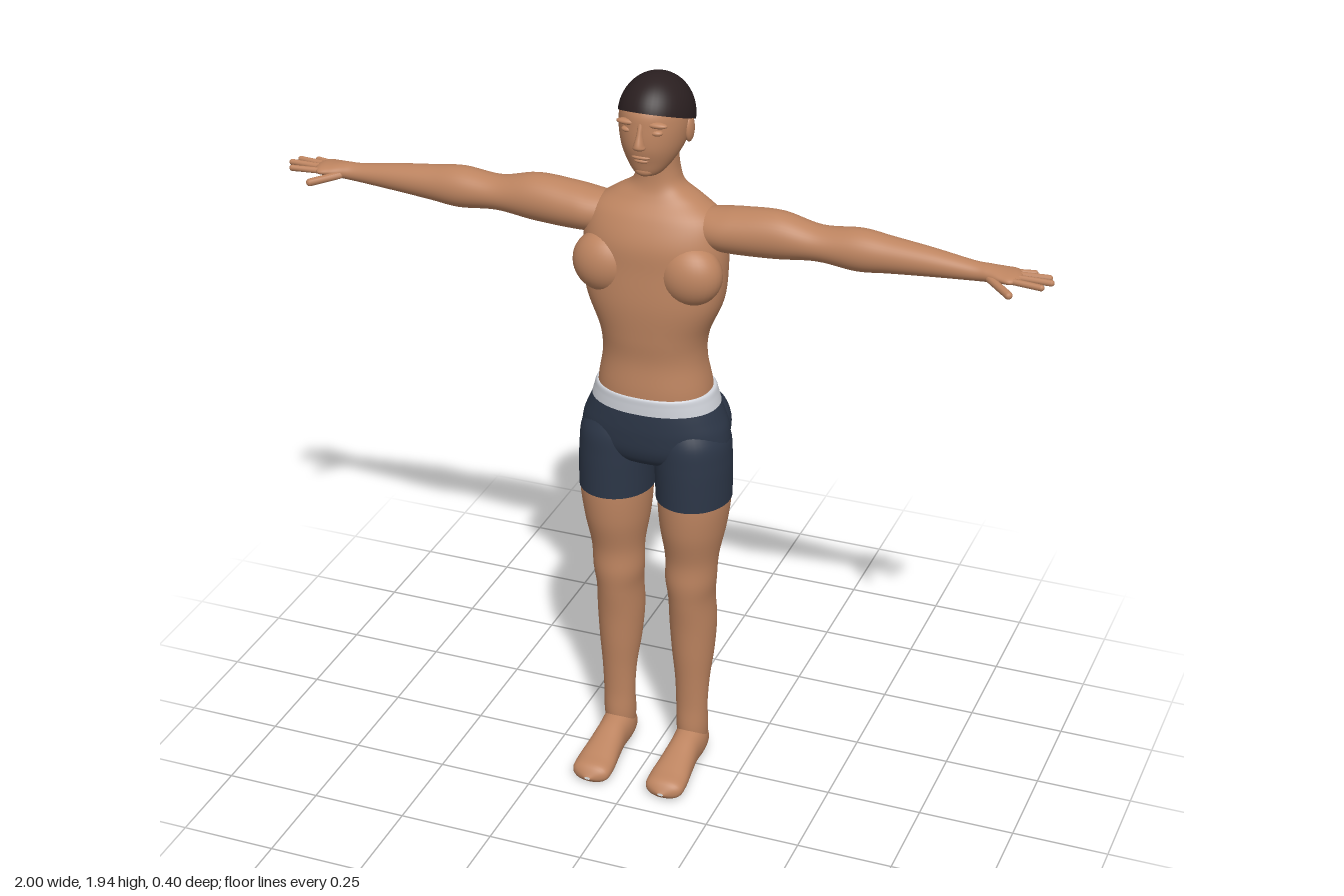
import * as THREE from 'three';

const mat = (name, color, side = THREE.FrontSide) => {
  const m = new THREE.MeshStandardMaterial({ color, side });
  m.name = name;
  return m;
};

// Smooth interpolation through the rows at fractional index s
function sample(rows, s) {
  const n = rows.length - 1, i = Math.min(Math.floor(s), n - 1), f = s - i;
  const [p, q, r, t] = [rows[Math.max(i - 1, 0)], rows[i], rows[i + 1], rows[Math.min(i + 2, n)]];
  return q.map((b, k) => {
    const a = p[k], c = r[k], d = t[k];
    return b + 0.5 * f * (c - a + f * (2 * a - 5 * b + 4 * c - d + f * (3 * (b - c) + d - a)));
  });
}

// Skin over oval sections: [position, centre u, centre v, radius u, radius v].
// Axis y: u = x, v = z. Axis x: u = z, v = y. Axis z: u = y, v = x.
function loft(axis, rows, power = 1, sides = 40, steps = 6) {
  const pos = [], index = [], count = (rows.length - 1) * steps;
  const round = (v) => Math.sign(v) * Math.abs(v) ** power;
  for (let i = 0; i <= count; i++) {
    const [t, cu, cv, ru, rv] = sample(rows, i / steps);
    for (let j = 0; j < sides; j++) {
      const a = (j / sides) * Math.PI * 2;
      const u = cu + ru * round(Math.cos(a)), v = cv + rv * round(Math.sin(a));
      pos.push(...(axis === 'y' ? [u, t, v] : axis === 'x' ? [t, v, u] : [v, u, t]));
      if (i < count) {
        const p = i * sides + j, q = i * sides + (j + 1) % sides;
        index.push(p, p + sides, q, p + sides, q + sides, q);
      }
    }
  }
  const g = new THREE.BufferGeometry();
  g.setAttribute('position', new THREE.Float32BufferAttribute(pos, 3));
  g.setIndex(index);
  g.computeVertexNormals();
  return g;
}

const blob = (c, r) => new THREE.SphereGeometry(1, 32, 20).scale(...r).translate(...c);

// Rounded finger between two points
function finger(from, to, radius) {
  const a = new THREE.Vector3(...from), b = new THREE.Vector3(...to), d = b.clone().sub(a);
  const g = new THREE.CapsuleGeometry(radius, d.length() - radius, 5, 10);
  g.applyQuaternion(new THREE.Quaternion().setFromUnitVectors(new THREE.Vector3(0, 1, 0), d.normalize()));
  const m = a.add(b).multiplyScalar(0.5);
  return g.translate(m.x, m.y, m.z);
}

// Copy on the other side, with the corner order turned round
function mirrored(geometry) {
  const g = geometry.clone().scale(-1, 1, 1), ix = g.index.array;
  for (let i = 0; i < ix.length; i += 3) [ix[i], ix[i + 1]] = [ix[i + 1], ix[i]];
  g.computeVertexNormals();
  return g;
}

export function createModel() {
  const skin = mat('skin', 0xbd8460);
  const navy = mat('navy cloth', 0x2c3647, THREE.DoubleSide);
  const white = mat('pale waistband', 0xd0d3da, THREE.DoubleSide);
  const dark = mat('dark hair', 0x2a1f20, THREE.DoubleSide);
  const model = new THREE.Group();
  model.name = 'figure';
  const add = (name, geometry, material = skin) => {
    const m = new THREE.Mesh(geometry, material);
    m.name = name;
    model.add(m);
  };
  const pair = (name, geometry, material = skin) => {
    add(name + 'Left', geometry, material);
    add(name + 'Right', mirrored(geometry), material);
  };

  // Torso and neck
  add('torso', loft('y', [
    [1.04, 0, -0.04, 0.152, 0.112], [1.12, 0, -0.035, 0.146, 0.11], [1.2, 0, -0.03, 0.133, 0.1],
    [1.27, 0, -0.028, 0.14, 0.105], [1.36, 0, -0.031, 0.176, 0.114], [1.45, 0, -0.034, 0.185, 0.112],
    [1.52, 0, -0.036, 0.183, 0.108], [1.58, 0, -0.042, 0.168, 0.088], [1.62, 0, -0.05, 0.115, 0.066],
    [1.65, 0, -0.052, 0.068, 0.054], [1.69, 0, -0.052, 0.053, 0.05], [1.75, 0, -0.045, 0.05, 0.045],
  ], 0.9, 56));
  pair('chest', blob([0.112, 1.45, 0.025], [0.082, 0.08, 0.062]));
  pair('shoulderBlade', blob([0.085, 1.47, -0.1], [0.075, 0.11, 0.052]));

  // Head and face
  add('head', loft('y', [
    [1.695, 0, 0.015, 0.006, 0.006], [1.705, 0, 0.013, 0.034, 0.04], [1.74, 0, -0.005, 0.062, 0.071],
    [1.78, 0, -0.024, 0.08, 0.1], [1.83, 0, -0.034, 0.087, 0.109], [1.87, 0, -0.036, 0.08, 0.103],
    [1.905, 0, -0.04, 0.055, 0.07], [1.922, 0, -0.04, 0.006, 0.006],
  ]));
  add('nose', loft('y', [
    [1.776, 0, 0.072, 0.004, 0.004], [1.784, 0, 0.077, 0.016, 0.016], [1.795, 0, 0.077, 0.013, 0.018],
    [1.82, 0, 0.071, 0.008, 0.013], [1.845, 0, 0.066, 0.008, 0.008],
  ], 1, 20));
  add('upperLip', blob([0, 1.757, 0.066], [0.024, 0.006, 0.009]));
  add('lowerLip', blob([0, 1.747, 0.062], [0.02, 0.006, 0.01]));
  add('chin', blob([0, 1.716, 0.043], [0.025, 0.016, 0.018]));
  pair('brow', blob([0.037, 1.842, 0.06], [0.028, 0.008, 0.012]));
  pair('eyelid', blob([0.036, 1.822, 0.058], [0.017, 0.008, 0.012]));
  pair('ear', blob([0.085, 1.805, -0.037], [0.011, 0.034, 0.021]));

  // Close-cropped hair, tilted down at the back
  const cap = new THREE.SphereGeometry(1, 48, 20, 0, Math.PI * 2, 0, Math.PI / 2);
  add('hair', cap.scale(0.092, 0.105, 0.115).rotateX(-0.36).translate(0, 1.829, -0.04), dark);

  // Arms running into the palms
  pair('arm', loft('x', [
    [0.08, -0.04, 1.552, 0.045, 0.045], [0.16, -0.04, 1.554, 0.064, 0.054], [0.22, -0.038, 1.558, 0.064, 0.059],
    [0.32, -0.036, 1.564, 0.058, 0.06], [0.42, -0.038, 1.558, 0.05, 0.044], [0.52, -0.037, 1.558, 0.052, 0.053],
    [0.6, -0.037, 1.557, 0.045, 0.045], [0.7, -0.037, 1.555, 0.036, 0.035], [0.8, -0.037, 1.551, 0.027, 0.024],
    [0.84, -0.036, 1.552, 0.029, 0.021], [0.875, -0.035, 1.553, 0.038, 0.016], [0.905, -0.034, 1.553, 0.04, 0.012],
    [0.925, -0.033, 1.553, 0.004, 0.003],
  ]));
  [
    ['littleFinger', [0.88, -0.062, 1.551], [0.945, -0.078, 1.55], 0.007],
    ['ringFinger', [0.89, -0.047, 1.553], [0.985, -0.058, 1.552], 0.008],
    ['middleFinger', [0.89, -0.028, 1.554], [0.996, -0.03, 1.553], 0.008],
    ['indexFinger', [0.89, -0.008, 1.553], [0.98, 0.002, 1.552], 0.008],
    ['thumb', [0.845, -0.015, 1.548], [0.912, 0.042, 1.537], 0.01],
  ].forEach(([name, a, b, r]) => pair(name, finger([a[0], a[2], a[1]], [b[0], b[2], b[1]], r)));

  // Legs and feet
  pair('leg', loft('y', [
    [0.04, 0.103, -0.045, 0.036, 0.042], [0.1, 0.103, -0.04, 0.042, 0.045], [0.17, 0.103, -0.035, 0.042, 0.039],
    [0.25, 0.103, -0.038, 0.046, 0.047], [0.33, 0.102, -0.045, 0.055, 0.062], [0.42, 0.101, -0.047, 0.061, 0.072],
    [0.5, 0.1, -0.038, 0.06, 0.075], [0.56, 0.1, -0.03, 0.066, 0.075], [0.63, 0.102, -0.031, 0.069, 0.077],
    [0.72, 0.104, -0.033, 0.085, 0.098], [0.81, 0.106, -0.034, 0.094, 0.105], [0.88, 0.104, -0.034, 0.09, 0.098],
  ]));
  pair('foot', loft('z', [
    [-0.097, 0.038, 0.103, 0.004, 0.004], [-0.085, 0.04, 0.103, 0.033, 0.03], [-0.04, 0.052, 0.103, 0.052, 0.042],
    [0.02, 0.049, 0.103, 0.049, 0.041], [0.08, 0.04, 0.103, 0.04, 0.046], [0.14, 0.031, 0.103, 0.031, 0.052],
    [0.18, 0.026, 0.103, 0.025, 0.047], [0.2, 0.022, 0.103, 0.004, 0.008],
  ], 0.9));

  // Shorts with a waistband
  add('shortsHips', loft('y', [
    [0.885, 0, -0.034, 0.05, 0.03], [0.915, 0, -0.034, 0.15, 0.085], [0.95, 0, -0.036, 0.192, 0.108],
    [1.0, 0, -0.038, 0.192, 0.116], [1.04, 0, -0.04, 0.178, 0.118], [1.075, 0, -0.041, 0.162, 0.117],
  ], 0.92, 56), navy);
  pair('shortsLeg', loft('y', [
    [0.805, 0.105, -0.034, 0.097, 0.109], [0.86, 0.104, -0.034, 0.098, 0.109], [0.92, 0.102, -0.035, 0.099, 0.109],
    [0.98, 0.099, -0.036, 0.095, 0.106], [1.03, 0.09, -0.038, 0.075, 0.09],
  ]), navy);
  pair('shortsSeat', blob([0.085, 0.975, -0.11], [0.087, 0.1, 0.088]), navy);
  add('waistband', loft('y', [
    [1.066, 0, -0.041, 0.167, 0.12], [1.09, 0, -0.04, 0.16, 0.119],
    [1.109, 0, -0.039, 0.153, 0.117], [1.111, 0, -0.038, 0.138, 0.104],
  ], 0.92, 56), white);

  return model;
}
